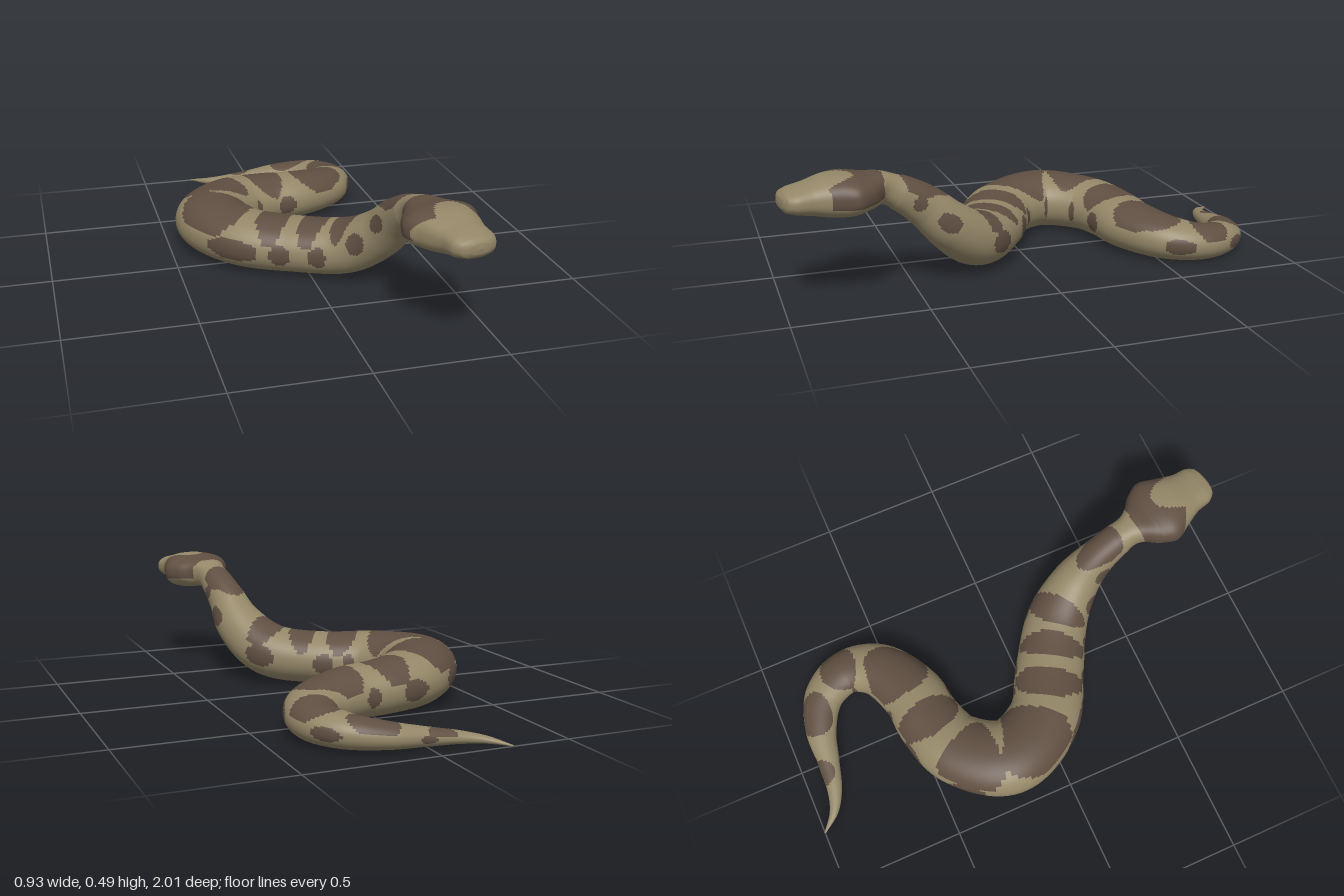
import * as THREE from 'three';

// Coil resting on the ground, tail tip first: x, z, half width
const COIL = [
  [-0.275, -1.0, 0.003], [-0.21, -0.935, 0.018], [-0.13, -0.9, 0.03], [0, -0.878, 0.046],
  [0.13, -0.858, 0.064], [0.26, -0.79, 0.082], [0.315, -0.67, 0.095], [0.265, -0.545, 0.113],
  [0.1, -0.453, 0.13], [-0.05, -0.43, 0.137], [-0.2, -0.37, 0.147], [-0.315, -0.196, 0.157],
  [-0.225, 0, 0.149], [-0.035, 0.115, 0.143],
];
// Rising neck: x, y, z, half width, half height
const NECK = [
  [0.15, 0.13, 0.235, 0.13, 0.108],
  [0.24, 0.225, 0.36, 0.1, 0.095],
  [0.265, 0.32, 0.46, 0.075, 0.08],
  [0.28, 0.385, 0.56, 0.066, 0.066],
];
// Level head, back to nose: z, half width, half height
const HEAD = [
  [0.635, 0.075, 0.06], [0.695, 0.123, 0.064], [0.755, 0.147, 0.074], [0.82, 0.122, 0.074],
  [0.9, 0.093, 0.057], [0.955, 0.088, 0.046], [0.985, 0.07, 0.036], [0.997, 0.04, 0.02],
  [1, 0.001, 0.001],
];
const STATIONS = [
  ...COIL.map(([x, z, w]) => ({ at: [x, 0.74 * w, z], size: [w, 0.74 * w, 0.95] })),
  ...NECK.map(([x, y, z, w, h]) => ({ at: [x, y, z], size: [w, h, 0.95] })),
  ...HEAD.map(([z, w, h]) => ({ at: [0.29 + 0.2 * (z - 0.635), 0.413, z], size: [w, h, 0.82] })),
];
const HEAD_START = COIL.length + NECK.length;
const PER = 16;    // rings per station
const SIDES = 80;

// Saddle blotches on the back: station, half length in stations, sideways offset
const SADDLES = [
  [2.6, 0.4, 0.6], [4.3, 0.6, 0.2], [5.85, 0.6, 0], [7.45, 0.7, 0], [9, 0.5, 0], [10.35, 0.5, -0.3],
  [11.5, 0.6, -0.1], [12.6, 0.3, 0], [13.35, 0.25, 0], [14.2, 0.42, 0], [16.5, 0.8, 0],
];
// Flank spots on each side: station, half length in stations
const LEFT_SPOTS = [
  [3, 0.25], [5.2, 0.3], [6.6, 0.3], [8.5, 0.25], [9.7, 0.2], [11.2, 0.25],
  [12.45, 0.14], [12.9, 0.14], [14, 0.25], [15.4, 0.3], [16.4, 0.2],
];
const RIGHT_SPOTS = [
  [6, 0.25], [8.2, 0.3], [9.3, 0.3], [10.4, 0.25], [12.1, 0.36], [12.85, 0.22],
  [13.55, 0.17], [14.7, 0.28], [15.8, 0.3],
];

// Dark skin on the body, from the station and the angle around the section
function bodyIsDark(s, angle) {
  const across = Math.cos(angle), lift = Math.sin(angle);
  const saddle = lift > 0.3 && SADDLES.some(([at, length, offset], i) => {
    const u = (s - at) / length, v = across - offset;
    return Math.hypot(u, v) < 1 + 0.07 * Math.sin(3 * Math.atan2(v, u) + i * 1.7);
  });
  const spots = across > 0 ? LEFT_SPOTS : RIGHT_SPOTS;
  return saddle || spots.some(([at, length]) => Math.hypot((s - at) / length, lift / 0.38) < 1);
}

// Dark cap on the head, open over the pale snout
function headIsDark(p, angle) {
  const cap = Math.hypot((p.x - 0.32) / 0.18, (p.z - 0.735) / 0.115) < 1;
  const snout = Math.hypot((p.x - 0.345) / 0.085, (p.z - 0.9) / 0.17) < 1;
  return cap && !snout && Math.sin(angle) > -0.3;
}

// Sweep the rounded section along the spine
function sweepPoints(rings) {
  const spine = new THREE.CatmullRomCurve3(STATIONS.map(s => new THREE.Vector3(...s.at)));
  const sizes = new THREE.CatmullRomCurve3(STATIONS.map(s => new THREE.Vector3(...s.size)));
  const up = new THREE.Vector3(0, 1, 0);
  const bend = (v, e) => Math.sign(v) * Math.pow(Math.abs(v), e);
  const points = [];
  for (let i = 0; i <= rings; i++) {
    const t = i / rings;
    const center = spine.getPoint(t), size = sizes.getPoint(t), tangent = spine.getTangent(t);
    const side = new THREE.Vector3().crossVectors(up, tangent).normalize();
    const top = new THREE.Vector3().crossVectors(tangent, side);
    for (let j = 0; j < SIDES; j++) {
      const a = (j / SIDES) * Math.PI * 2;
      const p = center.clone()
        .addScaledVector(side, size.x * bend(Math.cos(a), size.z))
        .addScaledVector(top, size.y * bend(Math.sin(a), size.z));
      p.y = Math.max(p.y, 0);
      points.push(p);
    }
  }
  return points;
}

export function createModel() {
  const group = new THREE.Group();
  const skin = new THREE.MeshStandardMaterial({ color: 0x948768 });
  skin.name = 'olive tan skin';
  const blotch = new THREE.MeshStandardMaterial({ color: 0x604f42 });
  blotch.name = 'dark brown blotch';

  const rings = (STATIONS.length - 1) * PER;
  const points = sweepPoints(rings);

  // Sort the faces by part and colour
  const faces = { body: [[], []], head: [[], []] };
  for (let i = 0; i < rings; i++) {
    const onHead = i >= HEAD_START * PER;
    for (let j = 0; j < SIDES; j++) {
      const a = i * SIDES + j, b = i * SIDES + (j + 1) % SIDES;
      const c = a + SIDES, d = b + SIDES;
      const angle = ((j + 0.5) / SIDES) * Math.PI * 2;
      const dark = onHead ? headIsDark(points[a], angle) : bodyIsDark((i + 0.5) / PER, angle);
      faces[onHead ? 'head' : 'body'][dark ? 1 : 0].push(a, b, c, b, d, c);
    }
  }

  // Shared smooth normals over the whole skin
  const whole = new THREE.BufferGeometry().setFromPoints(points);
  whole.setIndex(Object.values(faces).flat(2));
  whole.computeVertexNormals();

  for (const [name, [light, dark]] of Object.entries(faces)) {
    const geometry = new THREE.BufferGeometry();
    geometry.setAttribute('position', whole.attributes.position);
    geometry.setAttribute('normal', whole.attributes.normal);
    geometry.setIndex(light.concat(dark));
    geometry.addGroup(0, light.length, 0);
    geometry.addGroup(light.length, dark.length, 1);
    const mesh = new THREE.Mesh(geometry, [skin, blotch]);
    mesh.name = name;
    group.add(mesh);
  }
  return group;
}
